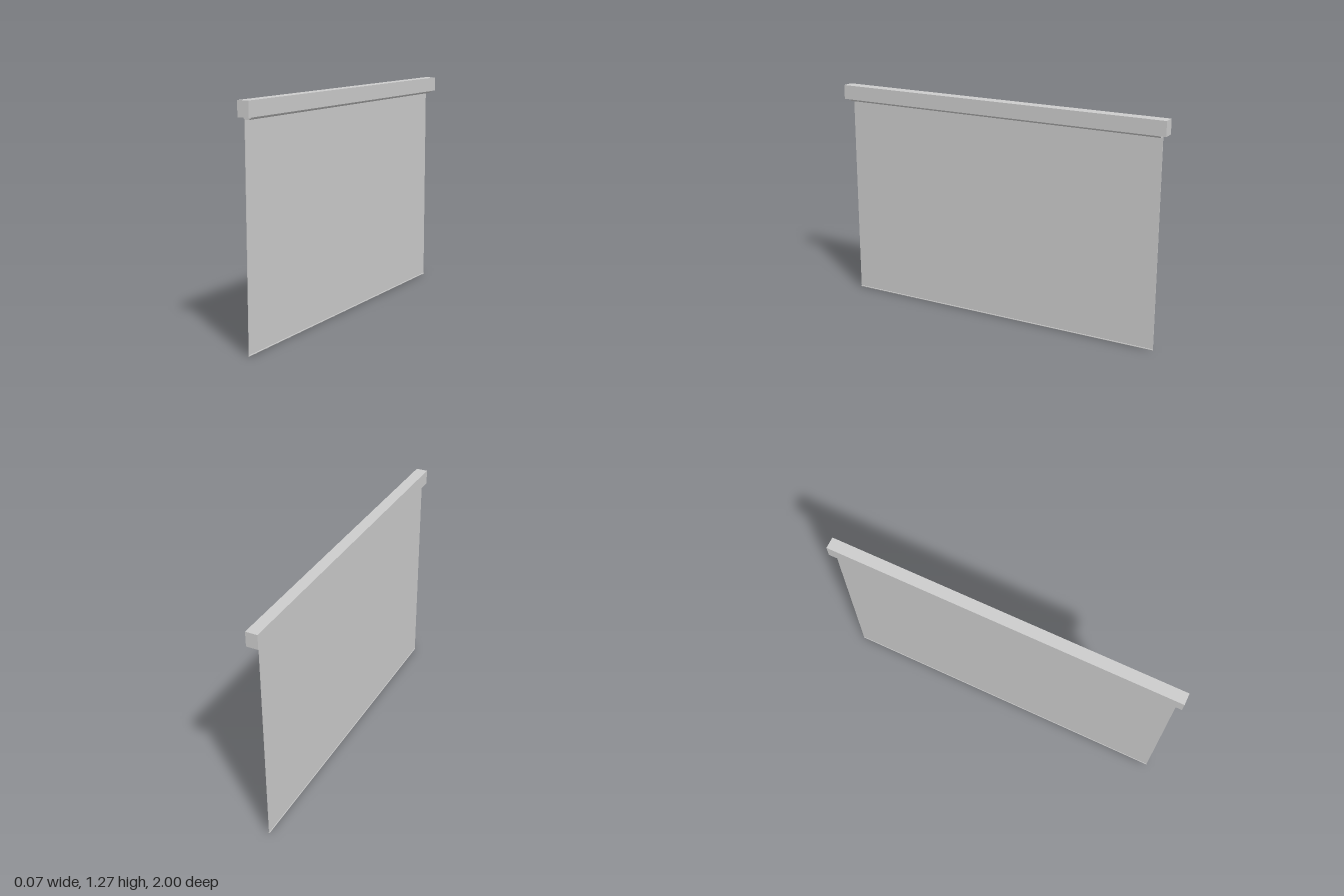
import * as THREE from 'three';

export function createModel() {
  const group = new THREE.Group();
  const grey = new THREE.MeshStandardMaterial({ color: 0xcccccc });

  const add = (name, geometry, x, y) => {
    const mesh = new THREE.Mesh(geometry, grey);
    mesh.name = name;
    mesh.position.set(x, y, 0);
    group.add(mesh);
    return mesh;
  };

  const top = 1.275, caseBottom = 1.193, screenX = -0.015, screenLength = 1.934;

  // Long housing at the top
  add('housing', new THREE.BoxGeometry(0.066, top - caseBottom, 2), 0, (top + caseBottom) / 2);

  // Roller showing below the housing
  const roller = new THREE.CylinderGeometry(0.031, 0.031, screenLength, 16);
  roller.rotateY(Math.PI / 16).rotateX(Math.PI / 2);
  add('roller', roller, 0, 1.209);

  // Hanging sheet and the slim weight bar along its lower edge
  add('screenSheet', new THREE.BoxGeometry(0.003, 1.2, screenLength), screenX, 0.6);
  const bar = new THREE.CylinderGeometry(0.004, 0.004, screenLength, 10);
  bar.rotateX(Math.PI / 2);
  add('bottomBar', bar, screenX, 0.004);

  return group;
}
